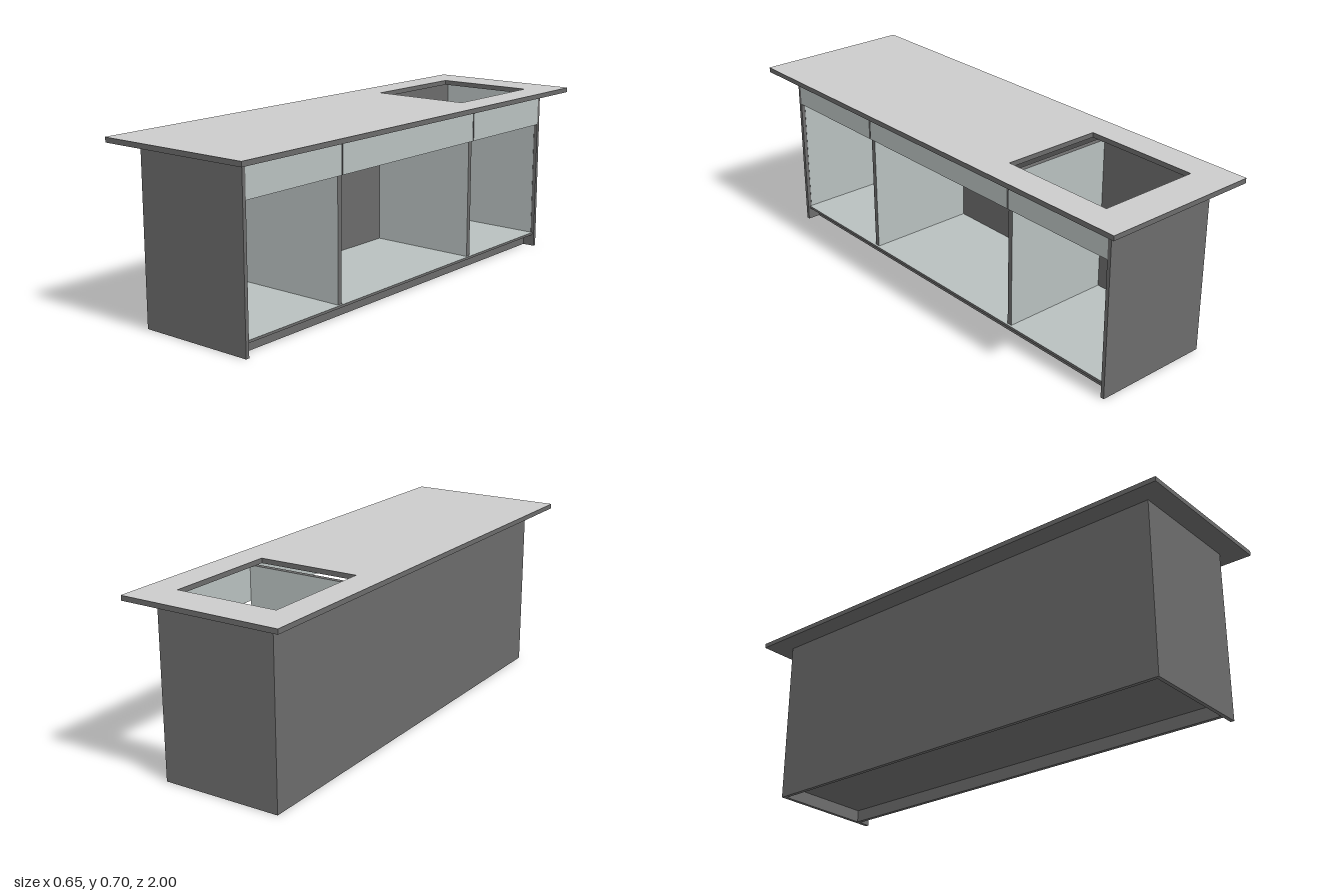
import * as THREE from 'three';

export function createModel() {
  const model = new THREE.Group();
  const carcass = new THREE.MeshStandardMaterial({ color: 0x6b6b6b });
  const lining = new THREE.MeshStandardMaterial({ color: 0xb8c0bf });
  const surface = new THREE.MeshStandardMaterial({ color: 0xcccccc });

  // A board between two corners; linedFaces lists the sides with the pale lining
  // (0 +x, 1 -x, 2 +y, 3 -y, 4 +z, 5 -z)
  function board(name, [x0, x1], [y0, y1], [z0, z1], linedFaces = []) {
    const materials = Array.from({ length: 6 }, (_, i) => (linedFaces.includes(i) ? lining : carcass));
    const mesh = new THREE.Mesh(
      new THREE.BoxGeometry(x1 - x0, y1 - y0, z1 - z0),
      linedFaces.length ? materials : carcass
    );
    mesh.position.set((x0 + x1) / 2, (y0 + y1) / 2, (z0 + z1) / 2);
    mesh.name = name;
    model.add(mesh);
  }

  const halfX = 0.243, halfZ = 0.915, thick = 0.015;
  const top = 0.68, inner = halfZ - thick, front = halfX - thick, back = -halfX + thick;
  const floorTop = 0.06;

  // Worktop with a rectangular sink cutout: dark core under a pale surface
  const toPoints = (corners) => corners.map(([x, y]) => new THREE.Vector2(x, y));
  const outline = new THREE.Shape(toPoints([[-0.325, -1], [0.325, -1], [0.325, 1], [-0.325, 1]]));
  outline.holes.push(new THREE.Path(
    toPoints([[-0.21, 0.376], [-0.21, 0.852], [0.207, 0.852], [0.207, 0.376]])
  ));
  function worktopLayer(name, geometry, material, y) {
    const mesh = new THREE.Mesh(geometry.rotateX(-Math.PI / 2), material);
    mesh.position.y = y;
    mesh.name = name;
    model.add(mesh);
  }
  const core = new THREE.ExtrudeGeometry(outline, { depth: 0.019, bevelEnabled: false });
  worktopLayer('worktopCore', core, carcass, top);
  worktopLayer('worktopSurface', new THREE.ShapeGeometry(outline), surface, 0.7);

  // End panels, each with a pale lining above the floor
  for (const side of [-1, 1]) {
    const span = (a, b) => [side * a, side * b].sort((p, q) => p - q);
    board('endPanel', [-halfX, halfX], [0, top], span(inner, halfZ));
    board('endLining', [back, front], [floorTop, top], span(inner - 0.001, inner), [side > 0 ? 5 : 4]);
  }

  // Closed long side, floor and recessed plinth
  board('closedSidePanel', [-halfX, back], [0, top], [-inner, inner]);
  board('cabinetFloor', [back, 0.236], [0.05, floorTop], [-inner, inner], [2]);
  board('plinth', [0.177, 0.192], [0, 0.05], [-inner, inner]);

  // Dividers between the three bays
  for (const z of [-0.41, 0.41]) {
    board('divider', [back, front], [floorTop, top], [z - 0.01, z + 0.01], [4, 5]);
  }

  // Fascia boards above each open bay
  const bays = [[-inner, -0.413], [-0.407, 0.407], [0.413, inner]];
  for (const span of bays) {
    board('fascia', [front, halfX], [0.543, top - 0.003], span, [0, 1]);
  }
  return model;
}
